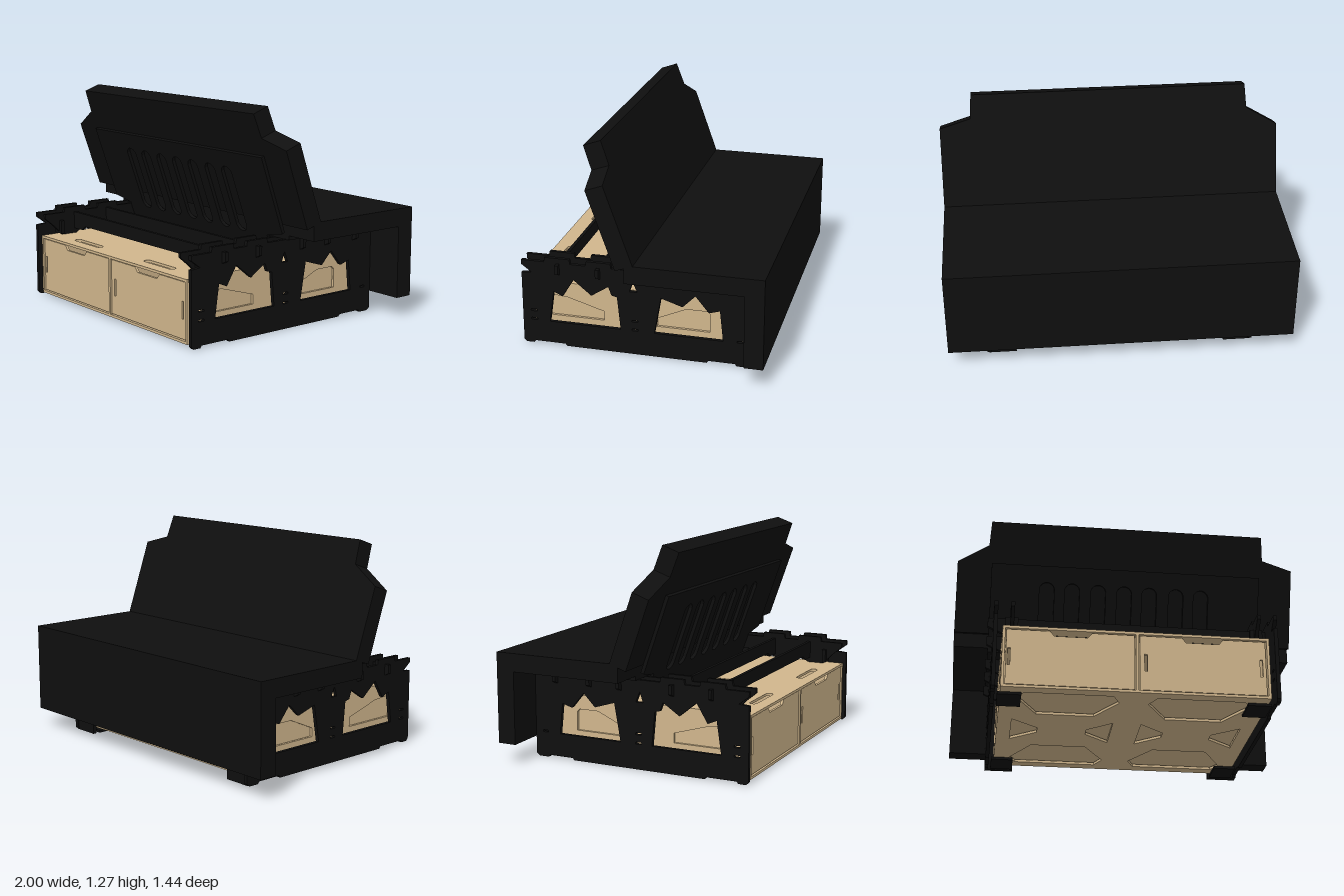
import * as THREE from 'three';

const black = new THREE.MeshStandardMaterial({ color: 0x0f0f0f });
black.name = 'black';
const wood = new THREE.MeshStandardMaterial({ color: 0xd0b68c });
wood.name = 'birch wood';

function outline(points, Type = THREE.Shape) {
  return new Type(points.map(([a, b]) => new THREE.Vector2(a, b)));
}
const rect = (a0, b0, a1, b1) => [[a0, b0], [a1, b0], [a1, b1], [a0, b1]];

// Rounded slot as a closed list of points
function slot(a0, b0, a1, b1) {
  const r = Math.min(a1 - a0, b1 - b0) / 2, pts = [];
  const tall = b1 - b0 > a1 - a0;
  for (let i = 0; i < 16; i++) {
    const t = ((i + 0.5) / 16) * Math.PI * 2 + (tall ? 0 : -Math.PI / 2);
    const first = i < 8;
    const ca = tall ? (a0 + a1) / 2 : first ? a1 - r : a0 + r;
    const cb = tall ? (first ? b1 - r : b0 + r) : (b0 + b1) / 2;
    pts.push([ca + r * Math.cos(t), cb + r * Math.sin(t)]);
  }
  return pts;
}

function plate(points, holes, depth) {
  const shape = outline(points);
  holes.forEach((h) => shape.holes.push(outline(h, THREE.Path)));
  return new THREE.ExtrudeGeometry(shape, { depth, bevelEnabled: false });
}

export function createModel() {
  const model = new THREE.Group();
  model.name = 'drawerBedPlatform';

  function add(parent, name, geometry, material, x = 0, y = 0, z = 0) {
    const mesh = new THREE.Mesh(geometry, material);
    mesh.name = name;
    mesh.position.set(x, y, z);
    parent.add(mesh);
    return mesh;
  }
  // Box given by its lowest and highest corners
  const block = (parent, name, m, x0, y0, z0, x1, y1, z1) =>
    add(parent, name, new THREE.BoxGeometry(x1 - x0, y1 - y0, z1 - z0), m,
      (x0 + x1) / 2, (y0 + y1) / 2, (z0 + z1) / 2);
  // Upright plate drawn in (z, y), centred on x
  const sidePlate = (parent, name, m, pts, holes, t, x) =>
    add(parent, name, plate(pts, holes, t).rotateY(-Math.PI / 2), m, x + t / 2);
  // Flat plate drawn in (x, z), with its top at y
  const flatPlate = (parent, name, m, pts, holes, t, y) =>
    add(parent, name, plate(pts, holes, t).rotateX(Math.PI / 2), m, 0, y);

  // Drawer cabinet
  const cabinet = new THREE.Group();
  cabinet.name = 'cabinet';
  model.add(cabinet);
  const back = -0.52, front = 0.71;
  flatPlate(cabinet, 'cabinetTop', wood, rect(-0.73, back, 0.73, front),
    [slot(-0.49, 0.59, -0.22, 0.635), slot(0.22, 0.59, 0.49, 0.635),
      slot(-0.006, 0.1, 0.006, 0.3)], 0.015, 0.378);
  const floorHoles = [];
  for (const s of [-1, 1]) {
    for (const [zc, d] of [[0.47, 1], [-0.28, -1]]) {
      floorHoles.push([[0.12, zc + d * 0.17], [0.6, zc + d * 0.17], [0.64, zc + d * 0.1],
        [0.52, zc - d * 0.13], [0.2, zc - d * 0.13], [0.08, zc + d * 0.08]]
        .map(([x, z]) => [s * x, z]));
    }
    floorHoles.push([[0.65, -0.06], [0.65, 0.25], [0.5, 0.13], [0.5, 0.06]].map(([x, z]) => [s * x, z]));
    floorHoles.push([[0.08, -0.06], [0.08, 0.25], [0.22, 0.13], [0.22, 0.06]].map(([x, z]) => [s * x, z]));
  }
  flatPlate(cabinet, 'cabinetFloor', wood, rect(-0.73, back, 0.73, front), floorHoles, 0.015, 0.035);
  block(cabinet, 'cabinetBack', wood, -0.72, 0.035, back, 0.72, 0.363, back + 0.015);
  block(cabinet, 'cabinetDivider', wood, -0.008, 0.035, back, 0.008, 0.363, front);
  const opening = [[0.6, 0.3], [0.47, 0.29], [0.25, 0.225], [0.25, 0.17], [0.6, 0.17]];
  const rearOpening = [[-0.06, 0.22], [-0.23, 0.295], [-0.35, 0.295], [-0.365, 0.28], [-0.365, 0.17], [-0.06, 0.17]];
  for (const s of [-1, 1]) {
    sidePlate(cabinet, 'cabinetSide', wood, rect(back, 0.035, front, 0.363),
      [opening, rearOpening], 0.015, s * 0.722);
  }

  // Two drawers with a finger notch and a latch slot
  for (const s of [-1, 1]) {
    const drawer = new THREE.Group();
    drawer.name = s > 0 ? 'leftDrawer' : 'rightDrawer';
    model.add(drawer);
    const x0 = s > 0 ? 0.014 : -0.708, x1 = x0 + 0.694, c = s * 0.36;
    const latch = s > 0 ? [0.04, 0.675] : [-0.7];
    add(drawer, 'drawerFront', plate(
      [[x0, 0.04], [x1, 0.04], [x1, 0.358], [c + 0.115, 0.358], [c + 0.09, 0.33],
        [c - 0.09, 0.33], [c - 0.115, 0.358], [x0, 0.358]],
      latch.map((x) => rect(x, 0.15, x + 0.015, 0.25)), 0.015), wood, 0, 0, 0.688);
    block(drawer, 'drawerFloor', wood, x0, 0.04, -0.48, x1, 0.05, 0.688);
    for (const x of [x0, x1 - 0.012]) block(drawer, 'drawerSide', wood, x, 0.05, -0.48, x + 0.012, 0.33, 0.688);
    block(drawer, 'drawerBack', wood, x0, 0.05, -0.49, x1, 0.33, -0.48);
  }

  // Upper edge shared by the side panels and the inner rails
  const topEdge = [[0.66, 0.445], [0.72, 0.49], [0.72, 0.517], [0.585, 0.517], [0.58, 0.545], [0.435, 0.545],
    [0.43, 0.517], [0.34, 0.517], [0.335, 0.545], [0.195, 0.545], [0.19, 0.517], [-0.61, 0.517]];
  const panel = [[0.72, 0.02], [0.72, 0.44], ...topEdge, [-0.61, 0.02], [-0.59, 0.005], [-0.53, 0.005],
    [-0.52, 0.018], [-0.37, 0.018], [-0.36, 0.005], [0.46, 0.005], [0.47, 0.018], [0.65, 0.018], [0.66, 0.005], [0.705, 0.005]];
  const panelHoles = [
    [[0.559, 0.15], [0.532, 0.339], [0.478, 0.316], [0.412, 0.424], [0.308, 0.339], [0.208, 0.405],
      [0.19, 0.355], [0.158, 0.347], [0.139, 0.15]],
    [[-0.058, 0.15], [-0.096, 0.37], [-0.22, 0.331], [-0.293, 0.405], [-0.37, 0.312], [-0.432, 0.331], [-0.451, 0.15]],
    [[0.085, 0.39], [0.065, 0.45], [0.04, 0.39]],
    slot(0.633, 0.204, 0.672, 0.216), slot(0.633, 0.15, 0.672, 0.162),
    slot(0.036, 0.204, 0.074, 0.216), slot(0.036, 0.15, 0.074, 0.162), slot(-0.565, 0.15, -0.53, 0.162),
  ];
  const rail = [[0.66, 0.44], ...topEdge.slice(1), [-0.61, 0.43], [-0.36, 0.43], [-0.293, 0.405], [-0.22, 0.38],
    [-0.1, 0.38], [0, 0.43], [0.15, 0.43], [0.208, 0.41], [0.308, 0.38], [0.412, 0.43], [0.5, 0.38], [0.6, 0.38]];
  for (const s of [-1, 1]) {
    sidePlate(model, 'sidePanel', black, panel, panelHoles, 0.022, s * 0.769);
    sidePlate(model, 'innerRail', black, rail, [], 0.02, s * 0.678);
    block(model, 'railTab', black, s * 0.68 - 0.035, 0.39, 0.6, s * 0.68 + 0.035, 0.47, 0.622);
    block(model, 'rearBracket', black, s * 0.69 - 0.08, 0.008, -0.6, s * 0.69 + 0.08, 0.5, -0.578);
    for (const z of [-0.55, 0.47]) block(model, 'foot', black, s * 0.68 - 0.065, 0.005, z, s * 0.68 + 0.065, 0.02, z + 0.17);
  }

  // Cross members between the side panels
  for (const z of [0.503, 0.265, -0.06, -0.25, -0.47]) {
    add(model, 'crossBar', plate([[-0.81, 0.46], [-0.7, 0.41], [-0.58, 0.41], [-0.55, 0.435], [0.55, 0.435],
      [0.58, 0.41], [0.7, 0.41], [0.81, 0.46], [0.81, 0.512], [-0.81, 0.512]], [], 0.02), black, 0, 0, z - 0.01);
  }

  // Fixed rear cushion and the cushion hanging behind it
  const slotX = [-0.47, -0.32, -0.165, -0.01, 0.14, 0.3, 0.45];
  flatPlate(model, 'fixedSlats', black, rect(-0.8, -0.61, 0.8, 0.05),
    slotX.map((x) => slot(x - 0.045, -0.5, x + 0.045, -0.1)), 0.025, 0.54);
  block(model, 'rearCushion', black, -1, 0.54, -0.612, 1, 0.645, 0.05);
  block(model, 'hangingCushion', black, -1, 0.12, -0.72, 1, 0.645, -0.612);

  // Raised lid: cushion on a slatted board
  const lid = new THREE.Group();
  lid.name = 'raisedLid';
  lid.position.set(0, 0.645, 0);
  lid.rotation.x = 0.342;
  model.add(lid);
  add(lid, 'lidCushion', plate([[-1, 0], [1, 0], [1, 0.472], [0.82, 0.525], [0.81, 0.667],
    [-0.81, 0.667], [-0.82, 0.525], [-1, 0.42]], [], 0.105), black);
  add(lid, 'lidSlats', plate([[-0.66, -0.24], [0.66, -0.24], [0.66, -0.08], [0.8, -0.05], [0.8, 0.417],
    [-0.8, 0.417], [-0.8, -0.05], [-0.66, -0.08]],
    slotX.map((x) => slot(x - 0.045, -0.09, x + 0.045, 0.32)), 0.02), black, 0, 0, 0.105);

  return model;
}
